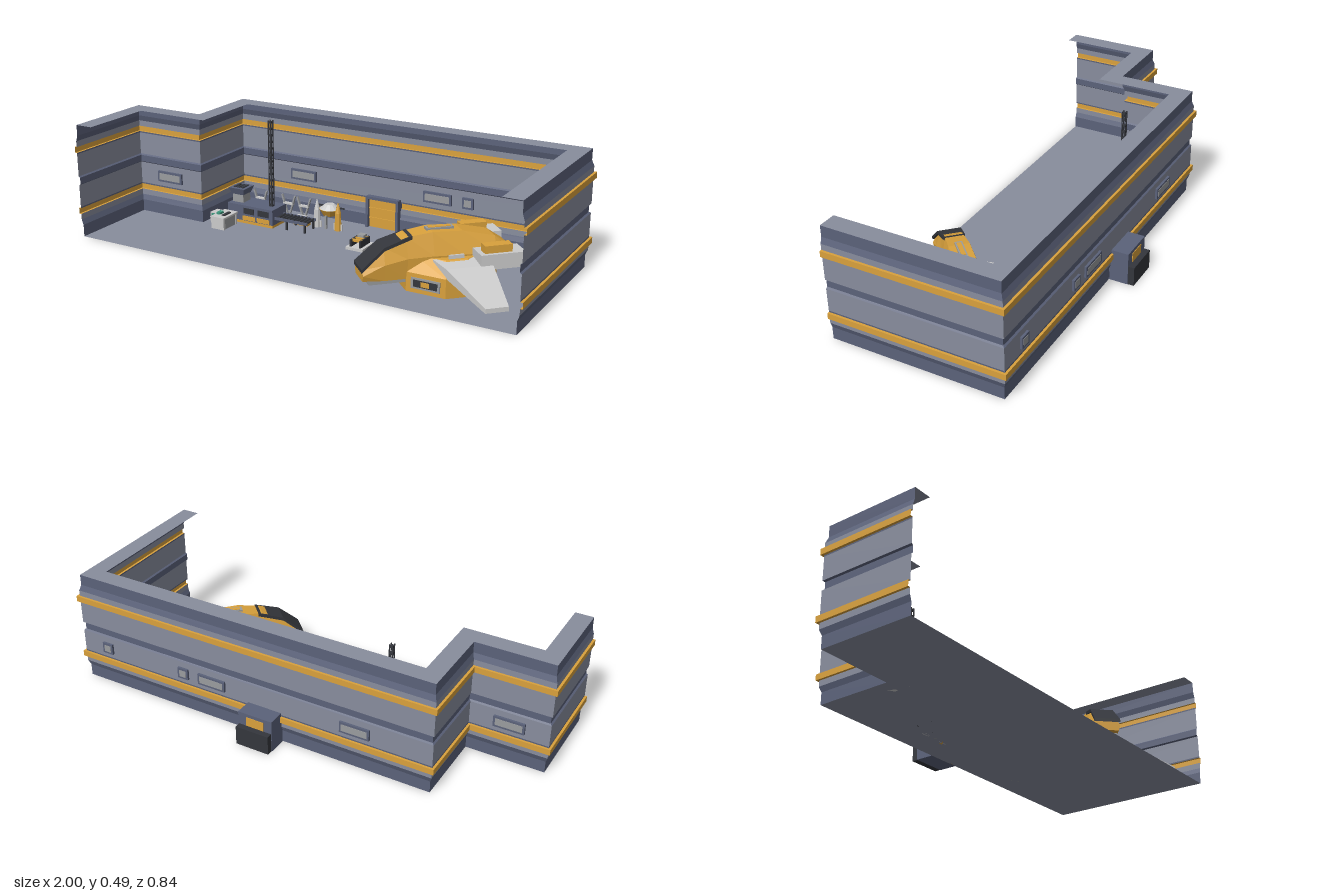
import * as THREE from 'three';

const SLATE = 0x5b627a, PALE = 0x888d9d, AMBER = 0xd9a13c, DARK = 0x34363c, GREY = 0x9a9c9e, LIGHT = 0xc4c6c8, TEAL = 0x3f9a80;
const mats = {};
const mat = (color) => (mats[color] ??= new THREE.MeshStandardMaterial({ color, flatShading: true, side: THREE.DoubleSide }));

function add(parent, name, geo, color, x = 0, y = 0, z = 0) {
  const m = new THREE.Mesh(geo, mat(color));
  m.name = name;
  m.position.set(x, y, z);
  parent.add(m);
  return m;
}
// box given by its centre in x and z and its underside in y
const box = (p, name, color, w, h, d, x, y, z) => add(p, name, new THREE.BoxGeometry(w, h, d), color, x, y + h / 2, z);
const cyl = (p, name, color, r0, r1, h, n, x, y, z) => add(p, name, new THREE.CylinderGeometry(r0, r1, h, n), color, x, y + h / 2, z);

function group(parent, name, x = 0, y = 0, z = 0) {
  const g = new THREE.Group();
  g.name = name;
  g.position.set(x, y, z);
  parent.add(g);
  return g;
}

// skin over cross-section loops of [x, y, z]; closed loops get end caps
function loft(loops, closed = true) {
  const pos = [], n = loops[0].length;
  const tri = (a, b, c) => pos.push(...a, ...b, ...c);
  for (let i = 0; i < loops.length - 1; i++)
    for (let j = 0; j < (closed ? n : n - 1); j++) {
      const k = (j + 1) % n, a = loops[i], b = loops[i + 1];
      tri(a[j], a[k], b[k]);
      tri(a[j], b[k], b[j]);
    }
  if (closed) {
    const s = loops[0], e = loops[loops.length - 1];
    for (let j = 1; j < n - 1; j++) { tri(s[0], s[j + 1], s[j]); tri(e[0], e[j], e[j + 1]); }
  }
  const g = new THREE.BufferGeometry();
  g.setAttribute('position', new THREE.Float32BufferAttribute(pos, 3));
  g.computeVertexNormals();
  return g;
}

// stepped wall line, moved outward by d
const wallLine = (d, y) => [[-1 - d, y, 0.42], [-1 - d, y, -d], [-0.668 - d, y, -d], [-0.668 - d, y, -0.332 - d], [1 + d, y, -0.332 - d], [1 + d, y, 0.42]];

function buildShell(root) {
  const g = group(root, 'hangarShell');
  const plan = new THREE.Shape(wallLine(-0.018, 0).map(([x, , z]) => new THREE.Vector2(x, -z)));
  add(g, 'floor', new THREE.ShapeGeometry(plan).rotateX(-Math.PI / 2), PALE);
  // each strip: name, colour, then [offset, height] points
  const strips = [
    ['skirting', SLATE, [-0.018, 0], [-0.018, 0.052], [-0.01, 0.075]],
    ['lowerPanel', PALE, [-0.01, 0.075], [-0.01, 0.1]],
    ['lowerStripe', AMBER, [-0.01, 0.1], [0, 0.1], [0, 0.125], [-0.01, 0.125]],
    ['lowerTrim', SLATE, [-0.01, 0.125], [-0.01, 0.131]],
    ['middlePanel', PALE, [-0.01, 0.131], [-0.01, 0.228]],
    ['groove', SLATE, [-0.01, 0.228], [-0.017, 0.233], [-0.017, 0.262], [-0.01, 0.267]],
    ['upperPanel', PALE, [-0.01, 0.267], [-0.01, 0.364]],
    ['upperTrim', SLATE, [-0.01, 0.364], [-0.01, 0.37]],
    ['upperStripe', AMBER, [-0.01, 0.37], [0, 0.37], [0, 0.395], [-0.01, 0.395]],
    ['topPanel', PALE, [-0.01, 0.395], [-0.01, 0.42]],
    ['cornice', SLATE, [-0.01, 0.42], [-0.018, 0.445], [-0.018, 0.492]],
    ['roofRim', PALE, [-0.018, 0.492], [-0.095, 0.492]],
  ];
  for (const [name, color, ...pts] of strips) add(g, name, loft(pts.map(([d, y]) => wallLine(d, y)), false), color);

  // windows, framed on both faces of the wall
  for (const [x, z, w] of [[-0.825, 0.01, 0.13], [-0.33, -0.322, 0.13], [0.33, -0.322, 0.13], [0.47, -0.322, 0.05], [0.86, -0.322, 0.05]]) {
    const win = group(g, 'window', x, 0.154, z);
    box(win, 'windowFrame', SLATE, w, 0.048, 0.02, 0, 0, 0);
    box(win, 'windowPane', GREY, w - 0.018, 0.03, 0.023, 0, 0.009, 0);
  }

  // doorway bay through the back wall
  const bay = group(g, 'doorBay', 0.079, 0, 0);
  box(bay, 'bayHousing', SLATE, 0.155, 0.14, 0.085, 0, 0, -0.353);
  box(bay, 'innerDoor', AMBER, 0.135, 0.125, 0.006, 0, 0, -0.31);
  for (const s of [-1, 1]) box(bay, 'doorPost', SLATE, 0.012, 0.14, 0.025, s * 0.073, 0, -0.303);
  box(bay, 'doorLintel', SLATE, 0.155, 0.012, 0.025, 0, 0.13, -0.303);
  for (const y of [0.04, 0.085]) box(bay, 'doorRib', AMBER, 0.135, 0.005, 0.012, 0, y, -0.308);
  box(bay, 'outerPanel', AMBER, 0.08, 0.04, 0.004, 0, 0.085, -0.396);
  box(bay, 'outerStep', DARK, 0.15, 0.083, 0.027, 0, 0, -0.408);
}

function buildShip(root) {
  const ship = group(root, 'ship', 0.6, 0, 0.07);
  ship.rotation.y = -Math.PI / 4;
  // fuselage stations: z, lower half width, upper half width, bottom, top
  const ring = ([z, wb, wt, yb, yt]) => [[-wb, yb, z], [wb, yb, z], [wb * 1.12, (yb + yt) / 2, z], [wt, yt, z], [-wt, yt, z], [-wb * 1.12, (yb + yt) / 2, z]];
  const st = [[-0.19, 0.05, 0.035, 0.11, 0.15], [-0.13, 0.068, 0.045, 0.075, 0.19], [0, 0.068, 0.042, 0.05, 0.22], [0.12, 0.062, 0.042, 0.05, 0.225], [0.22, 0.05, 0.036, 0.05, 0.212], [0.31, 0.05, 0.034, 0.05, 0.178], [0.395, 0.048, 0.042, 0.055, 0.1]];
  add(ship, 'fuselage', loft(st.map(ring)), AMBER);
  // canopy glass lies along the upper nose
  const glass = ([z, w, y]) => [[-w, y - 0.01, z], [w, y - 0.01, z], [w, y + 0.004, z], [-w, y + 0.004, z]];
  add(ship, 'canopy', loft([[0.2, 0.042, 0.213], [0.31, 0.048, 0.178], [0.4, 0.054, 0.1]].map(glass)), DARK);
  box(ship, 'chin', GREY, 0.09, 0.02, 0.2, 0, 0.036, 0.27);

  // wide lower hull with angled intake faces
  const plan = [[-0.05, 0.225], [-0.165, 0.108], [-0.165, 0.0], [-0.078, -0.13], [0.078, -0.13], [0.165, 0.0], [0.165, 0.108], [0.05, 0.225]];
  const hull = new THREE.Shape(plan.map(([x, z]) => new THREE.Vector2(x, -z)));
  add(ship, 'lowerHull', new THREE.ExtrudeGeometry(hull, { depth: 0.078, bevelEnabled: false }).rotateX(-Math.PI / 2), AMBER, 0, 0.002);
  const deck = [0.08, 0.13].map((y, i) => plan.map(([x, z]) => [x * (i ? 0.62 : 1), y, z * (i ? 0.8 : 1)]));
  add(ship, 'hullShoulder', loft(deck), AMBER);

  for (const s of [-1, 1]) {
    const side = group(ship, s < 0 ? 'rightSide' : 'leftSide');
    side.scale.x = s;
    const intake = group(side, 'intake', 0.107, 0.02, 0.166);
    intake.rotation.y = Math.PI / 4;
    box(intake, 'intakeFrame', GREY, 0.12, 0.044, 0.01, 0, 0, 0);
    box(intake, 'intakeMouth', DARK, 0.1, 0.028, 0.013, 0, 0.008, 0);
    box(intake, 'intakeVane', AMBER, 0.035, 0.02, 0.016, 0, 0.012, 0);
    // drooping tapered wing: span, rear, front, bottom, top
    const rib = ([x, zr, zf, yb, yt]) => [[x, yb, zf], [x, yb, zr], [x, yt, zr], [x, yt, zf]];
    add(side, 'wing', loft([[0.08, -0.1, 0.13, 0.09, 0.13], [0.16, -0.08, 0.105, 0.08, 0.118], [0.385, -0.05, 0.04, 0.03, 0.048]].map(rib)), LIGHT);
    box(side, 'wingFin', LIGHT, 0.008, 0.03, 0.06, 0.09, 0.115, 0.04);
    // engine pod
    box(side, 'enginePod', LIGHT, 0.09, 0.06, 0.18, 0.118, 0.1, -0.12);
    box(side, 'engineCowl', AMBER, 0.042, 0.035, 0.11, 0.128, 0.155, -0.105);
    box(side, 'engineNozzle', DARK, 0.06, 0.035, 0.01, 0.118, 0.112, -0.212);
  }
  box(ship, 'dorsalHatch', GREY, 0.03, 0.01, 0.11, 0, 0.221, 0.08);
  box(ship, 'dorsalHatchPanel', AMBER, 0.018, 0.012, 0.09, 0, 0.221, 0.08);
  box(ship, 'tailGrille', DARK, 0.06, 0.025, 0.01, 0, 0.118, -0.192);
}

function buildWorkshop(root) {
  const g = group(root, 'workshop');
  // press with hopper
  box(g, 'machineBase', SLATE, 0.235, 0.07, 0.11, -0.455, 0.012, -0.12);
  for (const x of [-0.46, -0.385]) box(g, 'machinePanel', AMBER, 0.065, 0.02, 0.004, x, 0.015, -0.064);
  for (const x of [-0.46, -0.385]) box(g, 'machineScreen', DARK, 0.055, 0.026, 0.004, x, 0.045, -0.064);
  box(g, 'machinePlinth', AMBER, 0.235, 0.012, 0.112, -0.455, 0, -0.12);
  box(g, 'hopperNeck', GREY, 0.055, 0.04, 0.055, -0.535, 0.08, -0.12);
  const hopper = cyl(g, 'hopper', SLATE, 0.058, 0.042, 0.03, 4, -0.535, 0.118, -0.12);
  hopper.rotation.y = Math.PI / 4;
  for (let i = -1; i <= 1; i++) box(g, 'hopperSlat', DARK, 0.012, 0.004, 0.05, -0.535 + i * 0.019, 0.147, -0.12);

  // lattice mast
  const mast = group(g, 'mast', -0.375, 0.08, -0.12);
  for (const x of [-1, 1]) for (const z of [-1, 1]) box(mast, 'mastRail', DARK, 0.004, 0.39, 0.004, x * 0.007, 0, z * 0.007);
  for (let i = 0; i < 14; i++) box(mast, 'mastRung', DARK, 0.016, 0.008, 0.016, 0, i * 0.029, 0);

  // roller conveyor
  const conv = group(g, 'conveyor', -0.255, 0, -0.12);
  for (const z of [-0.036, 0.036]) {
    box(conv, 'conveyorRail', SLATE, 0.165, 0.012, 0.006, 0, 0.036, z);
    for (const x of [-0.02, 0.07]) box(conv, 'conveyorLeg', DARK, 0.008, 0.038, 0.008, x, 0, z);
  }
  for (let i = 0; i < 9; i++) {
    const r = add(conv, 'roller', new THREE.CylinderGeometry(0.006, 0.006, 0.07, 8), DARK, -0.072 + i * 0.018, 0.043, 0);
    r.rotation.x = Math.PI / 2;
  }

  // console desk
  const desk = group(g, 'desk', -0.54, 0, 0.01);
  box(desk, 'deskTop', LIGHT, 0.07, 0.008, 0.11, 0, 0.048, 0);
  for (const z of [-0.045, 0.045]) box(desk, 'deskPanel', LIGHT, 0.065, 0.048, 0.012, 0, 0, z);
  box(desk, 'deskDrawers', GREY, 0.03, 0.048, 0.09, 0.015, 0, 0);
  box(desk, 'deskScreen', TEAL, 0.018, 0.02, 0.03, -0.018, 0.045, 0.005);
  box(desk, 'deskKeys', DARK, 0.016, 0.004, 0.05, 0.012, 0.056, 0);
  const side = group(g, 'sideCabinet', -0.595, 0, -0.02);
  box(side, 'cabinet', LIGHT, 0.045, 0.05, 0.05, 0, 0, 0);
  box(side, 'cabinetScreen', TEAL, 0.03, 0.012, 0.004, 0, 0.035, 0.025);

  // wall racks of leaning tools
  for (const x of [-0.51, -0.36, -0.28]) {
    const rack = group(g, 'toolRack', x, 0, -0.235);
    for (const s of [-1, 1]) box(rack, 'rackArm', GREY, 0.007, 0.105, 0.01, s * 0.018, 0, 0).rotation.z = s * -0.3;
    box(rack, 'rackBar', LIGHT, 0.05, 0.008, 0.014, 0, 0.06, 0);
  }
  box(g, 'toolBox', AMBER, 0.07, 0.03, 0.03, -0.255, 0.0, -0.175);
  box(g, 'toolBoxLid', LIGHT, 0.05, 0.012, 0.02, -0.255, 0.03, -0.175);

  // round tank on a tripod
  const tank = group(g, 'tank', -0.135, 0, -0.215);
  cyl(tank, 'tankBody', AMBER, 0.048, 0.03, 0.03, 12, 0, 0.055, 0);
  cyl(tank, 'tankCap', LIGHT, 0.02, 0.046, 0.02, 12, 0, 0.085, 0);
  box(tank, 'tankHandle', DARK, 0.145, 0.006, 0.006, 0, 0.09, 0);
  for (let i = 0; i < 3; i++) {
    const a = i * 2.094 + Math.PI / 2;
    box(tank, 'tankLeg', GREY, 0.009, 0.06, 0.009, Math.cos(a) * 0.035, 0, Math.sin(a) * 0.035);
  }
  // pointed canisters
  for (const [x, c] of [[-0.185, LIGHT], [-0.08, AMBER]]) {
    cyl(g, 'canister', c, 0.013, 0.016, 0.08, 8, x, 0, -0.19);
    cyl(g, 'canisterTip', c, 0.002, 0.013, 0.045, 8, x, 0.08, -0.19);
    box(g, 'canisterFin', LIGHT, 0.044, 0.03, 0.004, x, 0, -0.19);
  }

  // small trolley
  const cart = group(g, 'trolley', 0.105, 0, -0.05);
  box(cart, 'trolleyBase', LIGHT, 0.08, 0.012, 0.1, 0, 0.003, 0);
  for (const x of [-0.022, 0.022]) box(cart, 'trolleyRail', DARK, 0.008, 0.03, 0.08, x, 0.015, 0);
  for (const z of [-0.025, 0, 0.025]) box(cart, 'trolleyBar', AMBER, 0.05, 0.01, 0.01, 0, 0.035, z);
  box(cart, 'trolleyHead', GREY, 0.03, 0.02, 0.03, 0, 0.035, -0.02);
  // wall box by the ship
  box(g, 'wallBox', GREY, 0.075, 0.05, 0.03, 0.445, 0, -0.225);
}

export function createModel() {
  const root = new THREE.Group();
  root.name = 'hangar';
  buildShell(root);
  buildShip(root);
  buildWorkshop(root);
  return root;
}
